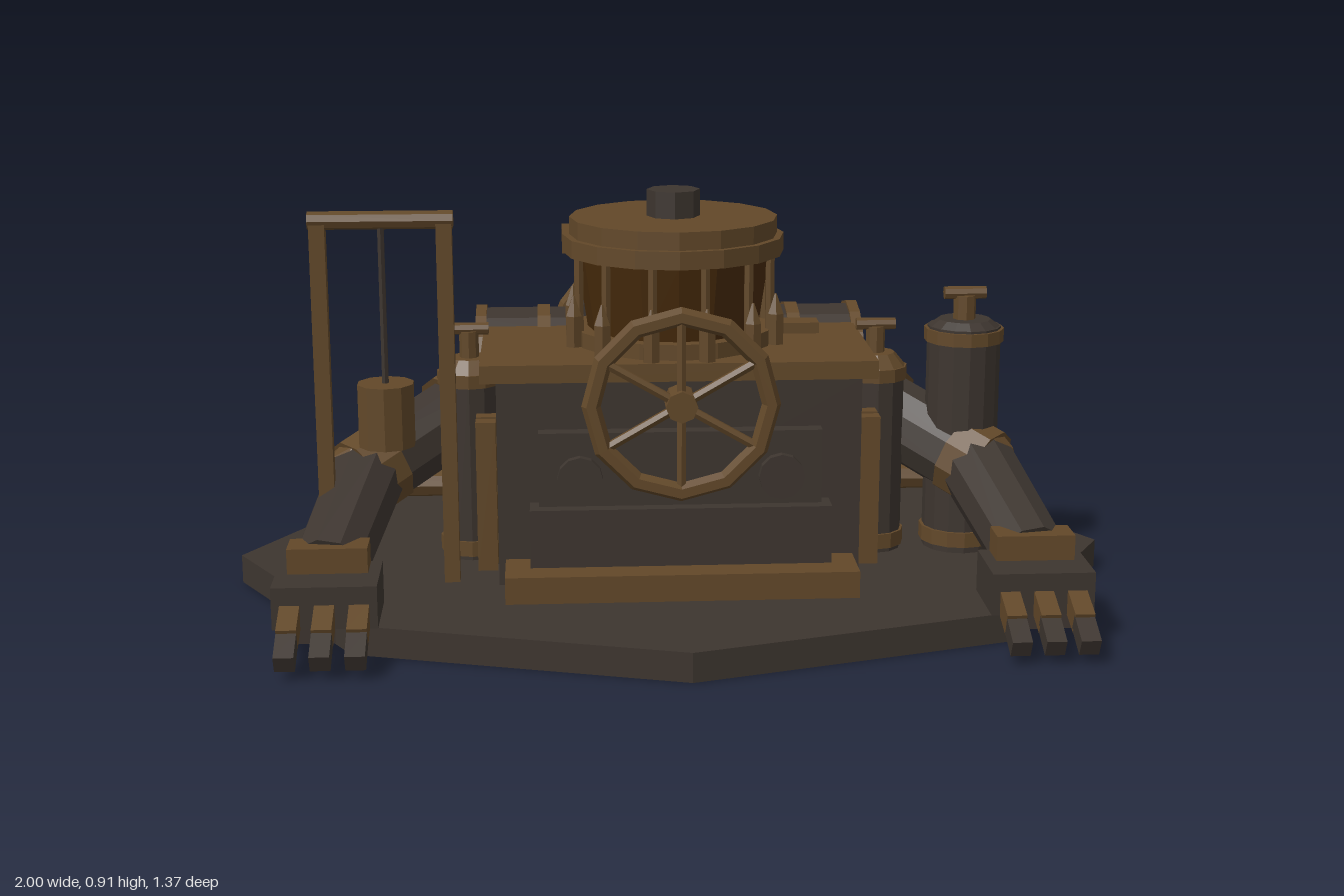
import * as THREE from 'three';

export function createModel() {
  const root = new THREE.Group();
  root.name = 'steamMachine';
  const mat = (name, color) => {
    const m = new THREE.MeshStandardMaterial({ color, flatShading: true });
    m.name = name;
    return m;
  };
  const brass = mat('agedBrass', 0x624829);
  const iron = mat('darkIron', 0x3d352f);
  const amber = mat('amberGlass', 0x462a0b);

  const add = (name, geo, material, x = 0, y = 0, z = 0) => {
    const m = new THREE.Mesh(geo, material);
    m.name = name;
    m.position.set(x, y, z);
    root.add(m);
    return m;
  };
  // Box given by its limits on each axis
  const box = (name, material, x0, x1, y0, y1, z0, z1) =>
    add(name, new THREE.BoxGeometry(x1 - x0, y1 - y0, z1 - z0), material,
      (x0 + x1) / 2, (y0 + y1) / 2, (z0 + z1) / 2);
  // Upright cylinder from y0 to y1
  const drum = (name, material, x, z, y0, y1, r, sides = 12, rTop = r) =>
    add(name, new THREE.CylinderGeometry(rTop, r, y1 - y0, sides), material, x, (y0 + y1) / 2, z);
  // Cylinder between two points
  const rod = (name, material, a, b, r, sides = 10, rEnd = r) => {
    const p = new THREE.Vector3(...a), q = new THREE.Vector3(...b);
    const d = q.clone().sub(p);
    const m = add(name, new THREE.CylinderGeometry(rEnd, r, d.length(), sides), material);
    m.position.copy(p.add(q).multiplyScalar(0.5));
    m.quaternion.setFromUnitVectors(new THREE.Vector3(0, 1, 0), d.normalize());
    return m;
  };
  // Point part way along a segment
  const along = (a, b, t) => a.map((v, i) => v + (b[i] - v) * t);

  // Base: stretched octagon and slab
  drum('basePlate', iron, 0, 0, 0, 0.065, 1, 8).scale.z = 0.685;
  box('baseSlab', iron, -0.845, 0.845, 0.002, 0.062, -0.42, 0.42);

  // Main housing
  box('frontPlinth', brass, -0.385, 0.385, 0.065, 0.125, 0, 0.375);
  box('rearPlinth', brass, -0.41, 0.41, 0.065, 0.125, -0.38, -0.18);
  box('housing', iron, -0.4, 0.4, 0.065, 0.525, -0.32, 0.245);
  box('housingTop', brass, -0.435, 0.435, 0.525, 0.565, -0.325, 0.25);
  box('consolePanel', iron, -0.31, 0.31, 0.25, 0.42, 0.24, 0.28);
  box('consoleBase', iron, -0.33, 0.33, 0.125, 0.255, 0.24, 0.31);
  for (const s of [-1, 1]) {
    rod('gauge', iron, [s * 0.22, 0.32, 0.27], [s * 0.22, 0.32, 0.3], 0.05, 12);
    for (const z of [0.15, 0.2])
      box('cornerPost', brass, s * 0.425 - 0.022, s * 0.425 + 0.022, 0.09, 0.43, z - 0.017, z + 0.017);
  }
  box('smallValveBlock', brass, 0.24, 0.34, 0.565, 0.59, -0.1, -0.04);

  // Hand wheel
  const wheelY = 0.485, wheelZ = 0.3;
  add('wheelRim', new THREE.TorusGeometry(0.195, 0.021, 6, 12), brass, 0, wheelY, wheelZ);
  for (let i = 0; i < 3; i++) {
    const a = Math.PI / 6 + i * Math.PI / 3, c = Math.cos(a) * 0.19, s = Math.sin(a) * 0.19;
    rod('wheelSpoke', brass, [-c, wheelY - s, wheelZ], [c, wheelY + s, wheelZ], 0.011, 6);
  }
  rod('wheelHub', brass, [0, wheelY, 0.24], [0, wheelY, 0.325], 0.035, 8);

  // Glazed turret
  drum('turretFoot', brass, 0, 0, 0.565, 0.6, 0.225, 16);
  drum('turretGlass', amber, 0, 0, 0.6, 0.77, 0.195, 16, 0.22);
  drum('turretRing', brass, 0, 0, 0.77, 0.81, 0.25, 16);
  drum('turretCap', brass, 0, 0, 0.81, 0.85, 0.235, 16);
  drum('turretKnob', iron, 0, 0, 0.85, 0.91, 0.06, 8);
  for (let i = 0; i < 12; i++) {
    const a = (i + 0.5) * Math.PI / 6, x = Math.sin(a), z = Math.cos(a);
    drum('turretRib', brass, x * 0.222, z * 0.222, 0.59, 0.775, 0.011, 6);
    drum('turretButtress', brass, x * 0.235, z * 0.235, 0.565, 0.635, 0.02, 6);
    drum('buttressTip', brass, x * 0.235, z * 0.235, 0.635, 0.68, 0.02, 6, 0.003);
  }
  box('rearHood', brass, -0.25, 0.25, 0.735, 0.78, -0.325, -0.17);
  box('rearHoodSupport', iron, -0.2, 0.2, 0.56, 0.735, -0.275, -0.2);

  // Rear boiler with ring, slats and stand
  rod('boiler', iron, [0, 0.43, -0.2], [0, 0.43, -0.38], 0.27, 20);
  add('boilerRing', new THREE.TorusGeometry(0.275, 0.02, 6, 24), brass, 0, 0.43, -0.395);
  rod('boilerEnd', iron, [0, 0.43, -0.37], [0, 0.43, -0.43], 0.25, 20);
  box('boilerStand', iron, -0.31, 0.31, 0.065, 0.255, -0.45, -0.2);
  for (const x of [-0.165, 0, 0.165])
    box('boilerSlat', brass, x - 0.018, x + 0.018, 0.32, 0.65, -0.485, -0.41);
  for (const s of [-1, 1])
    rod('boilerBrace', iron, [s * 0.16, 0.32, -0.455], [s * 0.28, 0.21, -0.455], 0.024, 6);

  for (const s of [-1, 1]) {
    // Shoulder barrel
    rod('shoulderBarrel', iron, [s * 0.2, 0.425, -0.245], [s * 0.44, 0.425, -0.245], 0.168, 16);
    rod('shoulderBand', brass, [s * 0.28, 0.425, -0.245], [s * 0.31, 0.425, -0.245], 0.174, 16);
    rod('shoulderDisc', brass, [s * 0.43, 0.425, -0.245], [s * 0.455, 0.425, -0.245], 0.175, 16);

    // Arm
    const shoulder = [s * 0.38, 0.42, -0.23], elbow = [s * 0.7, 0.27, 0.05], wrist = [s * 0.76, 0.15, 0.37];
    rod('upperArm', iron, shoulder, elbow, 0.092, 10);
    rod('upperArmCollar', brass, along(shoulder, elbow, 0.3), along(shoulder, elbow, 0.42), 0.106, 10);
    rod('elbowBand', brass, along(shoulder, elbow, 0.88), along(shoulder, elbow, 1.06), 0.098, 10);
    add('elbowJoint', new THREE.IcosahedronGeometry(0.095, 1), brass, ...elbow);
    rod('forearm', iron, elbow, wrist, 0.09, 10, 0.082);

    // Hand
    const hx = s * 0.757;
    box('wristCuff', brass, hx - 0.085, hx + 0.085, 0.14, 0.215, 0.35, 0.425);
    box('hand', iron, hx - 0.11, hx + 0.11, 0.068, 0.16, 0.345, 0.512);
    for (const off of [-0.072, 0, 0.072]) {
      const knuckle = box('finger', brass, hx + off - 0.021, hx + off + 0.021, 0.06, 0.11, 0.495, 0.58);
      knuckle.rotation.x = 0.35;
      const tip = box('fingerTip', iron, hx + off - 0.021, hx + off + 0.021, 0.035, 0.075, 0.565, 0.64);
      tip.rotation.x = 0.45;
    }

    // Side tank with tap
    const tx = s * 0.465;
    drum('sideTank', iron, tx, 0, 0.065, 0.5, 0.068, 12);
    drum('sideTankFoot', brass, tx, 0, 0.075, 0.11, 0.074, 12);
    drum('sideTankBand', brass, tx, 0, 0.47, 0.5, 0.074, 12);
    drum('sideTankDome', brass, tx, 0, 0.5, 0.53, 0.07, 12, 0.045);
    drum('sideTankStem', brass, tx, 0, 0.53, 0.59, 0.022, 8);
    rod('sideTankTap', brass, [tx - 0.045, 0.595, 0], [tx + 0.045, 0.595, 0], 0.014, 8);

    // Low exhaust pipe
    rod('exhaustPipe', brass, [s * 0.38, 0.165, -0.23], [s * 0.72, 0.165, -0.23], 0.033, 8);
  }

  // Tall tank with tap, only on the left
  drum('tallTank', iron, 0.67, 0, 0.065, 0.59, 0.084, 14);
  drum('tallTankFoot', brass, 0.67, 0, 0.08, 0.115, 0.091, 14);
  drum('tallTankBand', brass, 0.67, 0, 0.555, 0.585, 0.091, 14);
  drum('tallTankDome', iron, 0.67, 0, 0.59, 0.605, 0.08, 14, 0.06);
  drum('tallTankStem', brass, 0.67, 0, 0.6, 0.66, 0.026, 8);
  rod('tallTankTap', brass, [0.622, 0.665, 0], [0.718, 0.665, 0], 0.015, 8);
  rod('tankFeedPipe', brass, [0.69, 0.165, -0.23], [0.69, 0.165, -0.06], 0.022, 8);

  // Gantry with hanging weight, only on the right
  for (const x of [-0.775, -0.505])
    box('gantryPost', brass, x - 0.017, x + 0.017, 0.06, 0.875, 0.185, 0.219);
  rod('gantryBeam', brass, [-0.795, 0.878, 0.202], [-0.485, 0.878, 0.202], 0.02, 8);
  rod('hangingRod', iron, [-0.64, 0.5, 0.202], [-0.64, 0.87, 0.202], 0.008, 6);
  drum('hangingWeight', brass, -0.64, 0.202, 0.38, 0.52, 0.063, 10);

  return root;
}
